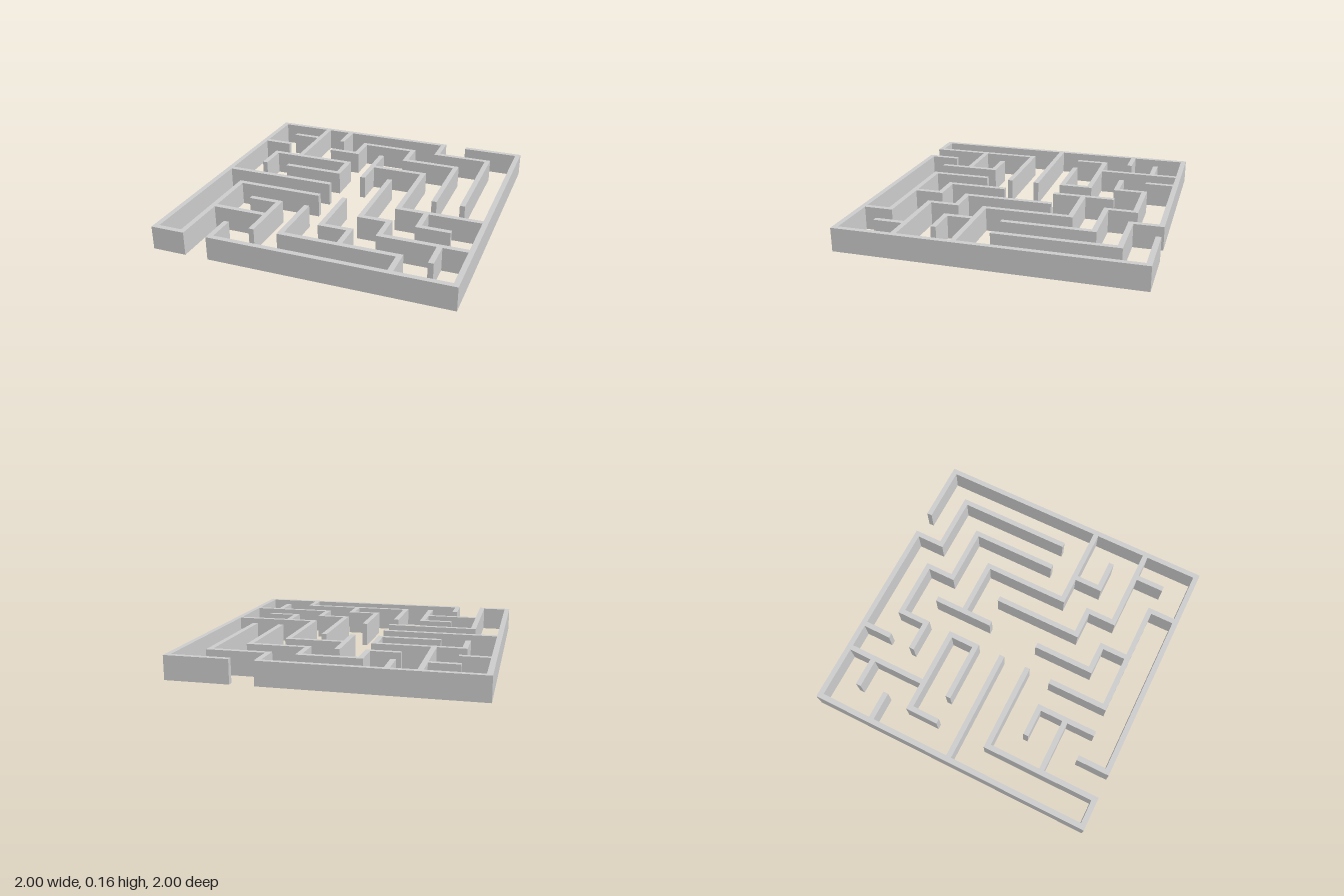
import * as THREE from 'three';

const T = 0.036;            // wall thickness
const H = 0.16;             // wall height
const PITCH = (2 - T) / 10; // spacing of the 10 x 10 maze grid

// Wall runs per grid line, as [from, to] node indices.
// Rows run along x, listed from back (-z) to front (+z).
const ROWS = [
  [[0, 7], [8, 10]],
  [[1, 2], [4, 6], [7, 9]],
  [[0, 1], [3, 4], [6, 8]],
  [[1, 4], [5, 7]],
  [[2, 4]],
  [[0, 4]],
  [[1, 4], [7, 10]],
  [[2, 3], [6, 7], [8, 9]],
  [[1, 3], [5, 6], [7, 10]],
  [[4, 8]],
  [[0, 1], [2, 10]],
];
// Columns run along z, listed from -x to +x.
const COLUMNS = [
  [[0, 10]],
  [[3, 4], [6, 10]],
  [[0, 3], [9, 10]],
  [[0, 1], [7, 9]],
  [[1, 2], [3, 4], [7, 9]],
  [[2, 4], [6, 8]],
  [[1, 2], [4, 7], [8, 9]],
  [[0, 1], [3, 6], [7, 8]],
  [[2, 5], [6, 7], [9, 10]],
  [[1, 5], [8, 9]],
  [[0, 10]],
];

const at = (k) => (k - 5) * PITCH;
const passes = (runs, k) => runs.some(([a, b]) => a < k && k < b);
const touches = (runs, k) => runs.some(([a, b]) => a <= k && k <= b);

export function createModel() {
  const maze = new THREE.Group();
  maze.name = 'maze';
  const material = new THREE.MeshStandardMaterial({ color: 0xcccccc });

  // One straight wall; an end butts against a crossing wall or covers its node
  function addWall(line, [a, b], alongX, buttsAt) {
    const start = at(a) + (buttsAt(a) ? T / 2 : -T / 2);
    const end = at(b) + (buttsAt(b) ? -T / 2 : T / 2);
    const length = end - start, mid = (start + end) / 2;
    const wall = new THREE.Mesh(
      new THREE.BoxGeometry(alongX ? length : T, H, alongX ? T : length), material);
    wall.position.set(alongX ? mid : at(line), H / 2, alongX ? at(line) : mid);
    const outer = line === 0 || line === 10;
    wall.name = (outer ? 'outer' : 'inner') + (alongX ? 'CrossWall' : 'LengthWall');
    maze.add(wall);
  }

  // Cross walls stop at length walls that run straight past them
  ROWS.forEach((runs, r) => runs.forEach((run) =>
    addWall(r, run, true, (k) => passes(COLUMNS[k], r))));

  // Length walls stop at any cross wall they meet, so nothing overlaps
  COLUMNS.forEach((runs, c) => runs.forEach((run) =>
    addWall(c, run, false, (k) => touches(ROWS[k], c))));

  return maze;
}
